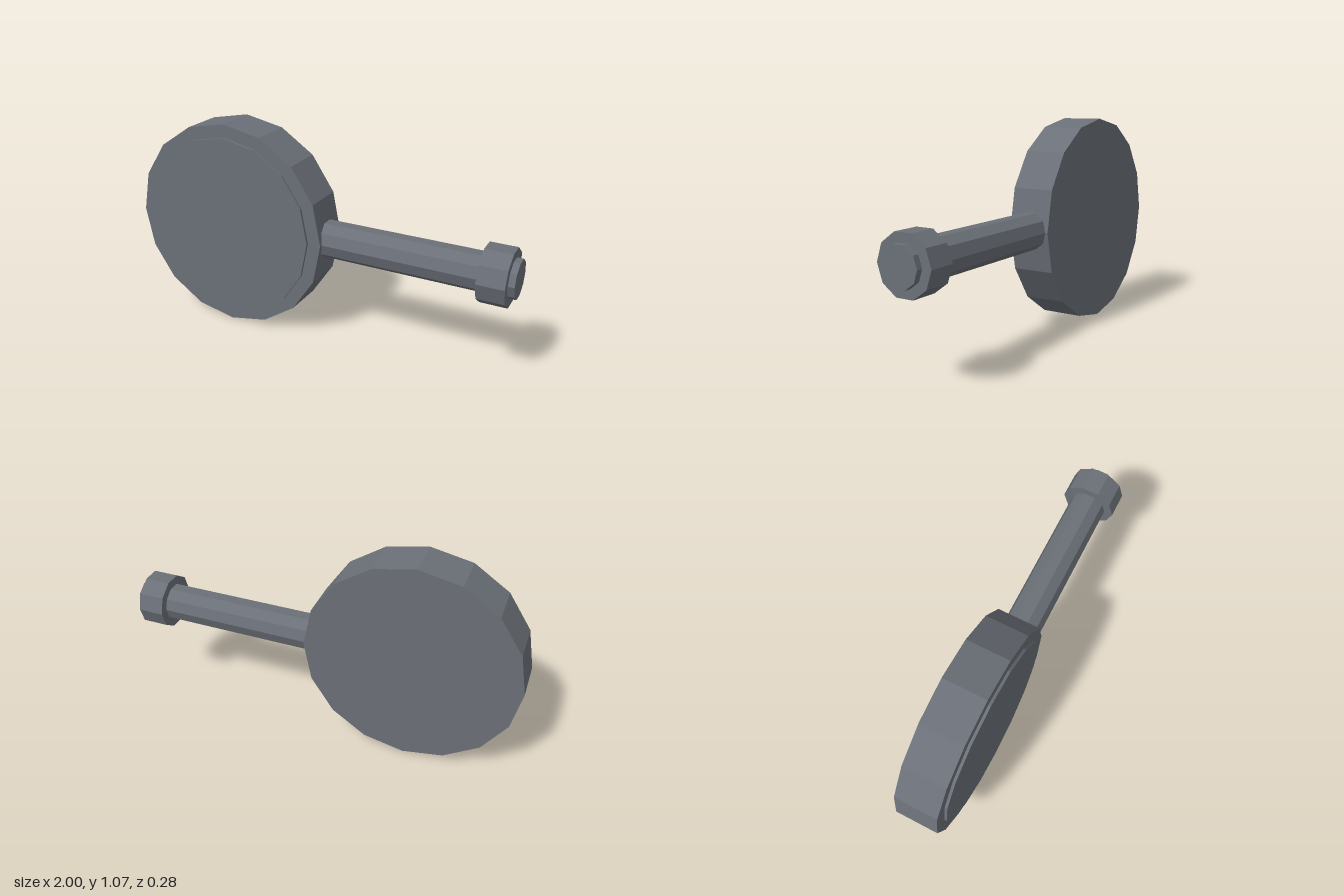
import * as THREE from 'three';

export function createModel() {
  const model = new THREE.Group();
  const steel = new THREE.MeshStandardMaterial({ color: 0x6b7078, flatShading: true });
  steel.name = 'dark grey steel';
  const centreY = 0.533;

  // Faceted cylinder running from one coordinate to another along x or z
  function addCylinder(name, axis, radius, sides, from, to, x = 0) {
    const geometry = new THREE.CylinderGeometry(radius, radius, to - from, sides);
    if (axis === 'x') geometry.rotateZ(-Math.PI / 2);
    else geometry.rotateX(Math.PI / 2);
    const mesh = new THREE.Mesh(geometry, steel);
    mesh.name = name;
    mesh.position.set(x, centreY, 0);
    mesh.position[axis] = (from + to) / 2;
    model.add(mesh);
  }

  // Round head with a slightly raised face plate
  addCylinder('head', 'z', 0.533, 16, -0.107, 0.107, -0.467);
  addCylinder('facePlate', 'z', 0.466, 16, 0.1, 0.12, -0.467);

  // Straight handle with a collar near its end
  addCylinder('handle', 'x', 0.0935, 10, 0, 1);
  addCylinder('handleCollar', 'x', 0.139, 10, 0.84, 0.97);

  return model;
}
